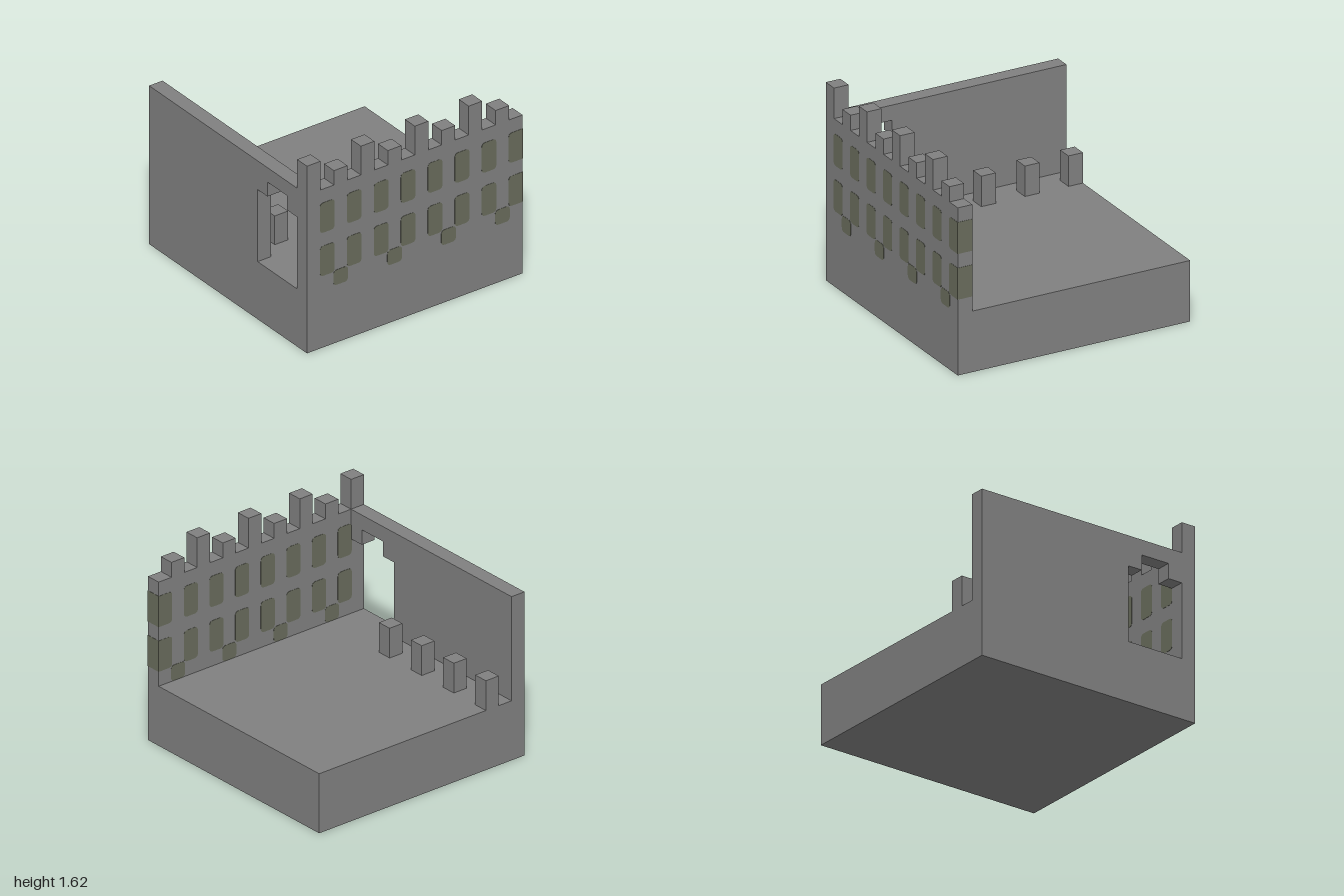
import * as THREE from 'three';

const U = 0.125; // building module

export function createModel() {
  const group = new THREE.Group();
  const stone = new THREE.MeshStandardMaterial({ color: 0x808080 });
  stone.name = 'greyStone';
  const moss = new THREE.MeshStandardMaterial({ color: 0x696c5c });
  moss.name = 'mossGreen';

  const add = (name, geometry, material) => {
    const mesh = new THREE.Mesh(geometry, material);
    mesh.name = name;
    group.add(mesh);
  };
  // Stone block given by its minimum corner and size
  const block = (name, x, y, z, w, h, d) =>
    add(name, new THREE.BoxGeometry(w, h, d).translate(x + w / 2, y + h / 2, z + d / 2), stone);

  block('base', -1, 0, -1, 2, 0.5, 2);
  block('sideWall', 0.875, 0.5, -1, U, 0.875, 2);

  // Front wall with a stepped opening beside the side wall
  const outline = [
    [-1, 0.5], [0.375, 0.5], [0.375, 1.125], [0.5, 1.125], [0.5, 1.25],
    [0.75, 1.25], [0.75, 1.125], [0.875, 1.125], [0.875, 1.375], [-1, 1.375],
  ].map(([x, y]) => new THREE.Vector2(x, y));
  const wall = new THREE.ExtrudeGeometry(new THREE.Shape(outline), { depth: U, bevelEnabled: false });
  add('frontWall', wall.translate(0, 0, 0.875), stone);

  // Alternating tall and short merlons, and the row of floor pillars
  for (let i = 0; i < 4; i++) {
    block('tallMerlon', 0.875, 1.375, 0.875 - i * 0.5, U, 0.25, U);
    block('shortMerlon', 0.875, 1.375, 0.625 - i * 0.5, U, 0.125, U);
    block('floorPillar', -1 + i * 0.375, 0.5, 0.625, U, 0.25, U);
  }

  // Rounded moss patch showing on both faces of the side wall;
  // a patch reaching the wall's back end wraps square around it
  const patch = (name, zCentre, y0, y1) => {
    const r = 0.035;
    const a = -zCentre - 0.068;
    const b = Math.min(-zCentre + 0.068, 1.002);
    const q = b > 1 ? 0 : r;
    const s = new THREE.Shape();
    s.moveTo(a + r, y0);
    s.lineTo(b - q, y0);
    if (q) s.quadraticCurveTo(b, y0, b, y0 + q);
    s.lineTo(b, y1 - q);
    if (q) s.quadraticCurveTo(b, y1, b - q, y1);
    s.lineTo(a + r, y1);
    s.quadraticCurveTo(a, y1, a, y1 - r);
    s.lineTo(a, y0 + r);
    s.quadraticCurveTo(a, y0, a + r, y0);
    const g = new THREE.ExtrudeGeometry(s, { depth: U + 0.004, bevelEnabled: false, curveSegments: 5 });
    add(name, g.rotateY(Math.PI / 2).translate(0.873, 0, 0), moss);
  };
  for (let i = 0; i < 8; i++) {
    const z = 0.8125 - i * 0.25;
    patch('upperMoss', z, 0.997, 1.257);
    patch('middleMoss', z, 0.622, 0.882);
    if (i % 2 === 0) patch('lowerMoss', z - U, 0.501, 0.632);
  }
  return group;
}
